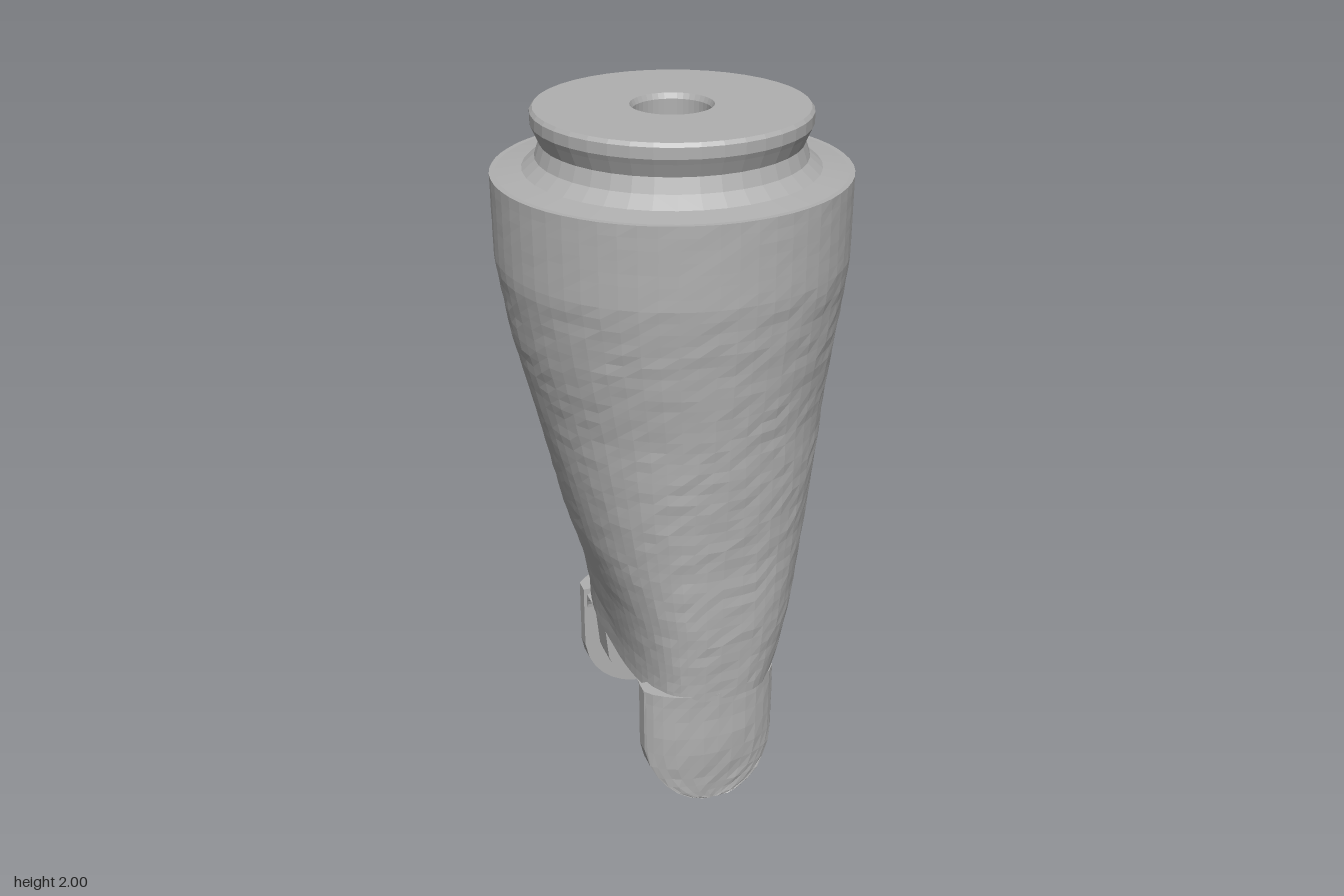
import * as THREE from 'three';

const grey = new THREE.MeshStandardMaterial({ color: 0xb0b0b0, flatShading: true });
grey.name = 'plain grey';

// Seeded generator for the slightly rough surface
let seed = 7;
const rough = (amount) => {
  seed = (seed * 16807) % 2147483647;
  return (seed / 2147483647 - 0.5) * 2 * amount;
};

// Skins a stack of rings (bottom to top) and caps both ends
function loft(rings) {
  const n = rings[0].length, pos = [], index = [];
  rings.forEach((ring) => ring.forEach((p) => pos.push(...p)));
  for (let r = 0; r < rings.length - 1; r++) {
    for (let i = 0; i < n; i++) {
      const a = r * n + i, b = r * n + ((i + 1) % n);
      index.push(a, a + n, b, b, a + n, b + n);
    }
  }
  [0, rings.length - 1].forEach((r) => {
    const c = pos.length / 3;
    const mid = [0, 1, 2].map((k) => rings[r].reduce((s, p) => s + p[k], 0) / n);
    pos.push(...mid);
    for (let i = 0; i < n; i++) {
      const a = r * n + i, b = r * n + ((i + 1) % n);
      if (r === 0) index.push(c, a, b);
      else index.push(c, b, a);
    }
  });
  const geo = new THREE.BufferGeometry();
  geo.setAttribute('position', new THREE.Float32BufferAttribute(pos, 3));
  geo.setIndex(index);
  geo.computeVertexNormals();
  return geo;
}

// Body sections: height, half width at -x, half width at +x, half depth
const SECTIONS = [
  [0.37, 0.2, 0.235, 0.395], [0.45, 0.205, 0.27, 0.4], [0.6, 0.235, 0.31, 0.41],
  [0.8, 0.3, 0.35, 0.415], [1.0, 0.35, 0.39, 0.43], [1.2, 0.4, 0.425, 0.445],
  [1.4, 0.45, 0.455, 0.465], [1.6, 0.483, 0.483, 0.485], [1.83, 0.485, 0.485, 0.485],
];

function sectionAt(y) {
  let i = 0;
  while (i < SECTIONS.length - 2 && y > SECTIONS[i + 1][0]) i++;
  const a = SECTIONS[i], b = SECTIONS[i + 1];
  const t = (y - a[0]) / (b[0] - a[0]);
  return a.map((v, k) => v + (b[k] - v) * t);
}

function bodyGeometry() {
  const rings = [], rows = 46, sides = 60;
  for (let r = 0; r <= rows; r++) {
    const y = 0.37 + (1.46 * r) / rows;
    const [, left, right, depth] = sectionAt(y);
    // Boxier section low down, round at the top
    const power = 2 / (2 + Math.max(0, (1.2 - y) / 0.83));
    const noise = y < 1.6 ? 0.004 : 0.001;
    const ring = [];
    for (let i = 0; i < sides; i++) {
      const t = (i / sides) * Math.PI * 2;
      const c = Math.cos(t), s = Math.sin(t), k = 1 + rough(noise);
      ring.push([
        Math.sign(c) * Math.abs(c) ** power * (c > 0 ? right : left) * k,
        y,
        Math.sign(s) * Math.abs(s) ** power * depth * k,
      ]);
    }
    rings.push(ring);
  }
  return loft(rings);
}

// Fork leg: flat inside, curved outside, round toe
function legGeometry() {
  const rings = [], arc = 14, inner = 0.27;
  for (const y of [0.004, 0.015, 0.035, 0.06, 0.09, 0.13, 0.18, 0.24, 0.3, 0.35, 0.39]) {
    const drop = Math.max(0, (0.2 - y) / 0.2);
    const half = 0.2 * Math.sqrt(1 - drop * drop);
    const thick = 0.125 - 0.02 * drop;
    const ring = [];
    for (let i = 0; i <= arc; i++) {
      const x = half * Math.cos((Math.PI * i) / arc);
      ring.push([x, y, inner + thick * Math.sqrt(1 - (x / 0.212) ** 2) + rough(0.002)]);
    }
    for (let i = 0; i <= 4; i++) ring.push([-half + (half * i) / 2, y, inner]);
    rings.push(ring);
  }
  return loft(rings);
}

export function createModel() {
  const group = new THREE.Group();
  const add = (name, geo, x = 0, y = 0, z = 0) => {
    const mesh = new THREE.Mesh(geo, grey);
    mesh.name = name;
    mesh.position.set(x, y, z);
    group.add(mesh);
    return mesh;
  };

  add('body', bodyGeometry());

  // Waisted neck with a blind hole in its top
  const profile = [
    [0.478, 1.829], [0.4, 1.84], [0.365, 1.87], [0.352, 1.91], [0.367, 1.945],
    [0.374, 1.96], [0.374, 1.99], [0.366, 2], [0.112, 2], [0.105, 1.985],
    [0.105, 1.85], [0, 1.85],
  ].map(([x, y]) => new THREE.Vector2(x, y));
  add('neck', new THREE.LatheGeometry(profile, 40));

  // Ridge across the floor of the hole
  add('holeRidge', new THREE.CylinderGeometry(0.045, 0.045, 0.2, 8), 0, 1.86, 0)
    .rotation.z = Math.PI / 2;

  // Fork legs
  add('frontLeg', legGeometry());
  add('backLeg', legGeometry()).rotation.y = Math.PI;

  // Rounded corners where the legs meet the slot ceiling
  const corner = new THREE.Shape();
  corner.moveTo(0, 0);
  corner.lineTo(0, -0.06);
  corner.quadraticCurveTo(0, 0, 0.06, 0);
  corner.lineTo(0, 0);
  const fillet = new THREE.ExtrudeGeometry(corner, { depth: 0.38, bevelEnabled: false, curveSegments: 5 });
  add('frontFillet', fillet, -0.19, 0.371, 0.271).rotation.y = Math.PI / 2;
  add('backFillet', fillet, 0.19, 0.371, -0.271).rotation.y = -Math.PI / 2;

  // Inward pegs: a plain one in front, one on a thick boss behind
  const peg = new THREE.CylinderGeometry(0.04, 0.045, 0.13, 8);
  add('frontPeg', peg, 0, 0.18, 0.22).rotation.x = -Math.PI / 2;
  add('backPeg', peg, 0, 0.18, -0.22).rotation.x = Math.PI / 2;
  const boss = new THREE.Shape();
  boss.moveTo(-0.17, 0.38);
  boss.lineTo(-0.15, 0.18);
  boss.quadraticCurveTo(-0.13, 0.1, -0.03, 0.1);
  boss.quadraticCurveTo(0.08, 0.1, 0.08, 0.19);
  boss.quadraticCurveTo(0.07, 0.26, -0.02, 0.28);
  boss.lineTo(-0.08, 0.38);
  add('backBoss', new THREE.ExtrudeGeometry(boss, {
    depth: 0.1, bevelEnabled: false, curveSegments: 5,
  }), 0, 0, -0.275);

  return group;
}
